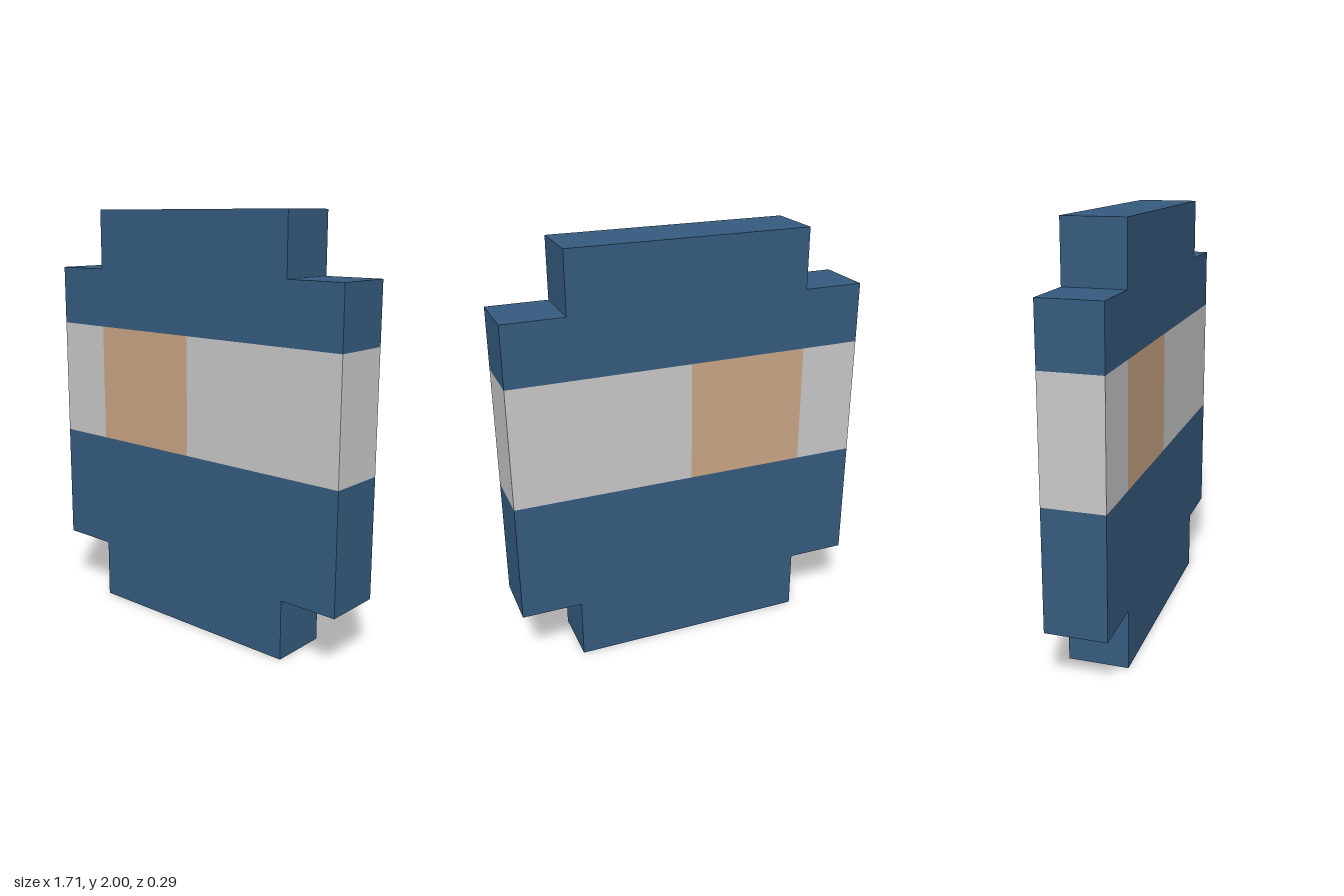
import * as THREE from 'three';

// One grid step: the body is 6 wide, 7 high and 1 deep
const U = 2 / 7;

export function createModel() {
  const group = new THREE.Group();
  const material = (name, color) => {
    const m = new THREE.MeshStandardMaterial({ color });
    m.name = name;
    return m;
  };
  const blue = material('blue', 0x355b7f);
  const grey = material('light grey', 0xc9c9c9);
  const tan = material('tan', 0xc9a585);

  const add = (name, geometry, mat) => {
    const mesh = new THREE.Mesh(geometry, mat);
    mesh.name = name;
    group.add(mesh);
    return mesh;
  };

  // Stepped cap: wide between y = base and step, narrow from step to tip
  const cap = (name, base, step, tip) => {
    const points = [[-3, base], [3, base], [3, step], [2, step], [2, tip], [-2, tip], [-2, step], [-3, step]];
    const shape = new THREE.Shape(points.map(([x, y]) => new THREE.Vector2(x * U, y * U)));
    const geometry = new THREE.ExtrudeGeometry(shape, { depth: U, bevelEnabled: false });
    add(name, geometry.translate(0, 0, -U / 2), blue);
  };
  cap('lowerBody', 3, 1, 0);
  cap('upperBody', 5, 6, 7);

  // Middle band, split into blocks along x
  const block = (name, x0, x1, mat) => {
    const mesh = add(name, new THREE.BoxGeometry((x1 - x0) * U, 2 * U, U), mat);
    mesh.position.set((x0 + x1) / 2 * U, 4 * U, 0);
  };
  block('rightBand', -3, -2, grey);
  block('bandPanel', -2, 0, tan);
  block('leftBand', 0, 3, grey);

  return group;
}
